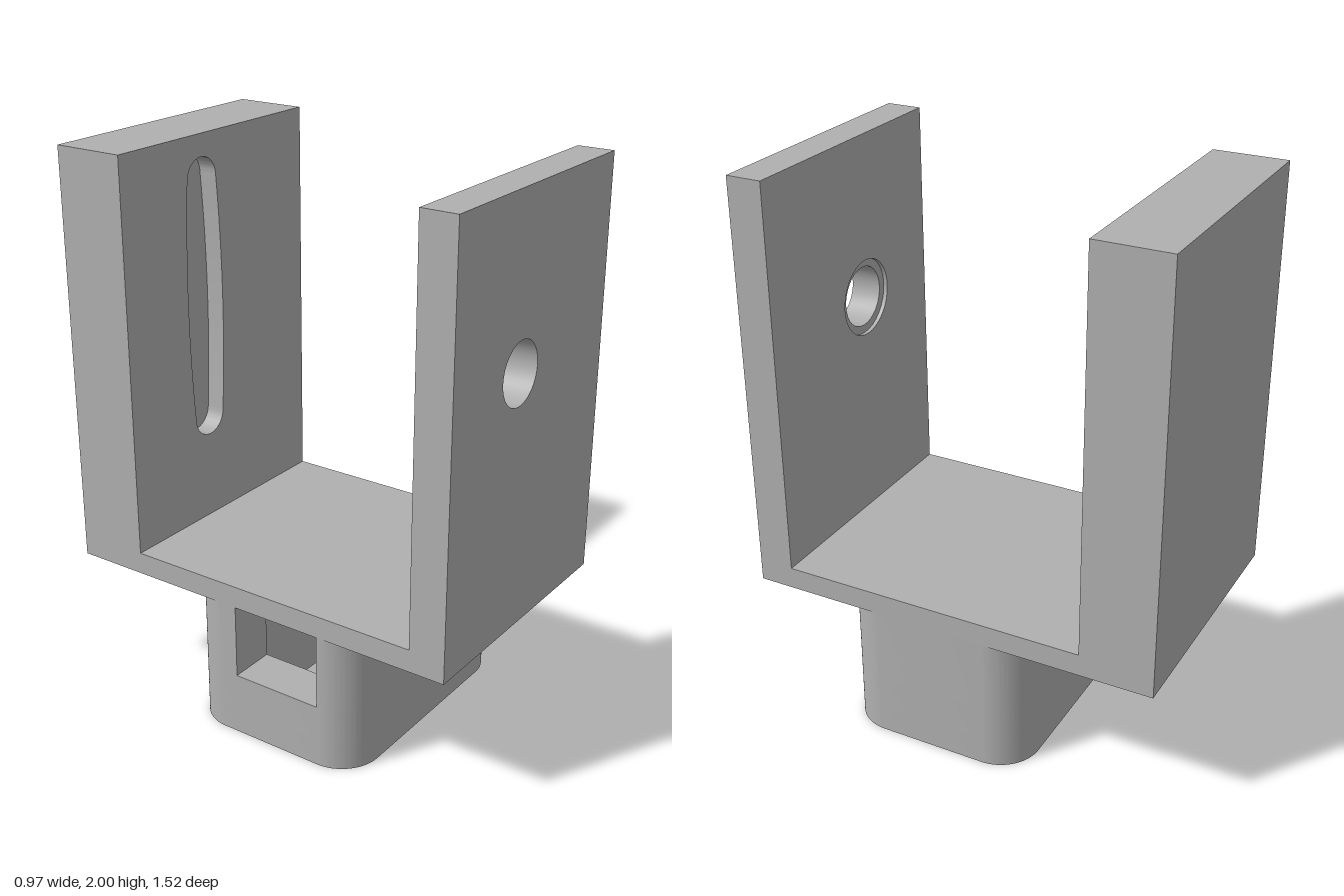
import * as THREE from 'three';
import { toCreasedNormals } from 'three/addons/utils/BufferGeometryUtils.js';

const W = 0.485;                       // half width of the bracket
const HOLE_X = -0.08, HOLE_Y = 1.41;   // shared centre of pin hole and slot
const SOCKET_Z = 0.07;

// Traces the four rounded corners of a rectangle, either way round
function traceCorners(path, w, h, r, clockwise = false) {
  const corners = [[-1, -1, Math.PI], [1, -1, 1.5 * Math.PI], [1, 1, 0], [-1, 1, 0.5 * Math.PI]];
  if (clockwise) corners.reverse();
  for (const [sx, sy, a] of corners) {
    const b = a + Math.PI / 2;
    path.absarc(sx * (w - r), sy * (h - r), r, clockwise ? b : a, clockwise ? a : b, clockwise);
  }
  return path;
}

function circle(x, y, r) {
  return new THREE.Path().absarc(x, y, r, 0, Math.PI * 2, false);
}

function extrude(shape, depth) {
  const geo = new THREE.ExtrudeGeometry(shape, { depth, bevelEnabled: false, curveSegments: 16 });
  return toCreasedNormals(geo, 0.6);
}

// Upright plate outline with one opening
function plateShape(opening) {
  const s = new THREE.Shape([[-W, 0.5], [W, 0.5], [W, 2], [-W, 2]].map(p => new THREE.Vector2(...p)));
  s.holes.push(opening);
  return s;
}

// Long slot, slightly wider at its middle
function slotPath() {
  const r = 0.075, h = 0.435, bulge = 0.111;
  const p = new THREE.Path();
  p.moveTo(HOLE_X + r, HOLE_Y - h);
  p.quadraticCurveTo(HOLE_X + bulge, HOLE_Y, HOLE_X + r, HOLE_Y + h);
  p.absarc(HOLE_X, HOLE_Y + h, r, 0, Math.PI, false);
  p.quadraticCurveTo(HOLE_X - bulge, HOLE_Y, HOLE_X - r, HOLE_Y - h);
  p.absarc(HOLE_X, HOLE_Y - h, r, Math.PI, Math.PI * 2, false);
  return p;
}

export function createModel() {
  const model = new THREE.Group();
  model.name = 'bracket';
  const grey = new THREE.MeshStandardMaterial({ color: 0xb0b0b0 });
  grey.name = 'grey';

  const add = (name, geo, x = 0, y = 0, z = 0) => {
    const m = new THREE.Mesh(geo, grey);
    m.name = name;
    m.position.set(x, y, z);
    model.add(m);
    return m;
  };

  // Front plate: pin hole with a shallow counterbore on the inside
  add('frontPlate', extrude(plateShape(circle(HOLE_X, HOLE_Y, 0.11)), 0.115), 0, 0, 0.645);
  add('frontPlateCounterbore', extrude(plateShape(circle(HOLE_X, HOLE_Y, 0.14)), 0.015), 0, 0, 0.63);

  // Back plate: solid outside, blind slot facing inwards
  add('backPlate', new THREE.BoxGeometry(2 * W, 1.5, 0.195), 0, 1.25, -0.6625);
  add('backPlateSlot', extrude(plateShape(slotPath()), 0.07), 0, 0, -0.565);

  // Floor joining the plates
  add('floor', new THREE.BoxGeometry(2 * W, 0.08, 1.125), 0, 0.54, 0.0675);

  // Socket: hollow rounded block in three layers
  const outer = [W, 0.35, 0.15], inner = [0.315, 0.18, 0.03];
  const ring = (...extraHoles) => {
    const s = traceCorners(new THREE.Shape(), ...outer);
    s.holes.push(traceCorners(new THREE.Path(), ...inner), ...extraHoles);
    return s;
  };
  const socketLayer = (name, shape, y0, y1) => {
    const geo = extrude(shape, y1 - y0).rotateX(-Math.PI / 2);
    add(name, geo, 0, y0, SOCKET_Z);
  };
  socketLayer('socketFoot', ring(circle(-0.37, 0, 0.01), circle(0.37, 0, 0.01)), 0, 0.1);
  socketLayer('socketMiddle', ring(), 0.1, 0.23);

  // Top layer is open on one side to form the window
  const gap = 0.14;
  const open = new THREE.Shape();
  open.moveTo(-W, -gap);
  traceCorners(open, ...outer);
  open.lineTo(-W, gap);
  open.lineTo(-inner[0], gap);
  traceCorners(open, ...inner, true);
  open.lineTo(-inner[0], -gap);
  open.closePath();
  socketLayer('socketWindowLayer', open, 0.23, 0.5);

  return model;
}
